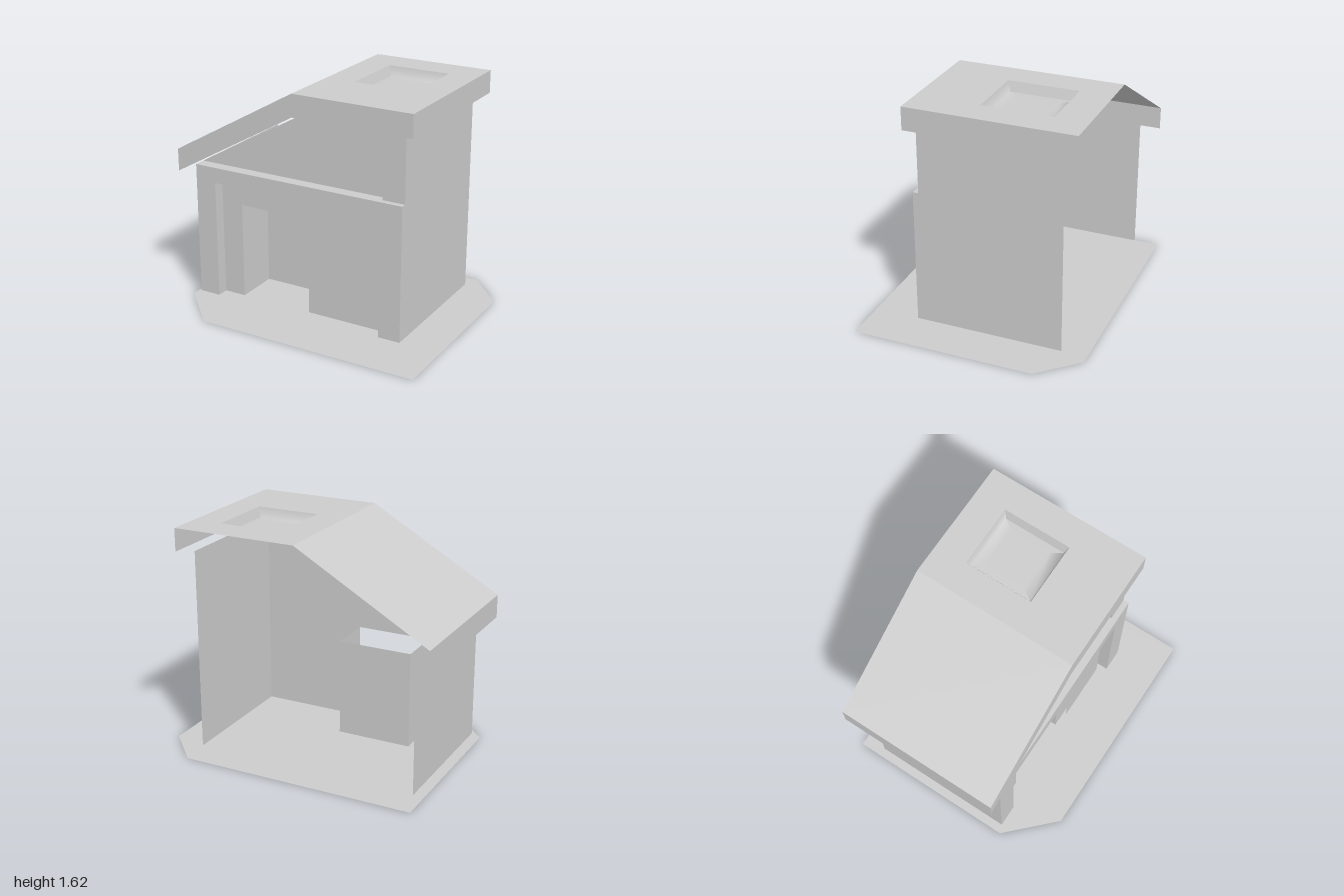
import * as THREE from 'three';

const grey = new THREE.MeshStandardMaterial({ color: 0xcccccc, side: THREE.DoubleSide });
grey.name = 'plain grey';

const rect = (x0, y0, x1, y1) => [[x0, y0], [x1, y0], [x1, y1], [x0, y1]];
const vecs = (pts) => pts.map(([x, y]) => new THREE.Vector2(x, y));

// Flat sheet in the xy plane with optional holes
function sheet(pts, ...holes) {
  const shape = new THREE.Shape(vecs(pts));
  holes.forEach((h) => shape.holes.push(new THREE.Path(vecs(h))));
  return new THREE.ShapeGeometry(shape);
}
const front = (z, pts, ...holes) => sheet(pts, ...holes).translate(0, 0, z);
// Upright sheet facing +x, points given as [z, y]
const side = (x, pts) => sheet(pts.map(([z, y]) => [-z, y])).rotateY(Math.PI / 2).translate(x, 0, 0);
// Level sheet facing +y, points given as [x, z]
const flat = (y, pts, ...holes) => {
  const flip = (p) => p.map(([x, z]) => [x, -z]);
  return sheet(flip(pts), ...holes.map(flip)).rotateX(-Math.PI / 2).translate(0, y, 0);
};

// Strip of quads between rows of two points each; rows share normals
function strip(rows) {
  const g = new THREE.BufferGeometry();
  g.setAttribute('position', new THREE.Float32BufferAttribute(rows.flat(2), 3));
  const index = [];
  for (let i = 0; i < rows.length - 1; i++) {
    const a = i * 2;
    index.push(a, a + 1, a + 3, a, a + 3, a + 2);
  }
  g.setIndex(index);
  g.computeVertexNormals();
  return g;
}

export function createModel() {
  const model = new THREE.Group();
  model.name = 'house';
  const add = (name, ...geometries) => {
    const group = new THREE.Group();
    group.name = name;
    geometries.forEach((g) => {
      const mesh = new THREE.Mesh(g, grey);
      mesh.name = name;
      group.add(mesh);
    });
    model.add(group);
  };

  const L = -0.865, R = 0.73, ridge = -0.07, base = 0.03;
  const zFrame = 0.43, zPilaster = 0.39, zWall = 0.345, zAlcove = 0.027, zBack = -0.61;

  // Ground plate with two clipped corners
  add('ground', flat(0, [[-0.92, -0.775], [0.75, -0.775], [1, -0.51], [1, 0.77], [-0.6, 0.77], [-0.92, 0.45]]));

  // Side walls; the back is open
  add('rightSideWall', side(R, [[zFrame, base], [zBack, base], [zBack, 1.44], [zPilaster, 1.44], [zPilaster, 0.99], [zFrame, 0.99]]));
  add('leftSideWall', side(L, rect(zBack, base, zFrame, 0.99)));

  // Front wall up to the gable, with the doorway cut from its lower edge
  add('frontWall', front(zWall, [
    [L, base], [-0.55, base], [-0.55, 0.72], [-0.015, 0.72], [-0.015, base],
    [R, base], [R, 1.44], [ridge, 1.44], [L, 0.99],
  ]));

  // Door alcove without a ceiling
  add('doorAlcove',
    front(zAlcove, rect(-0.55, base, -0.015, 0.72)),
    side(-0.55, rect(zAlcove, base, zWall, 0.72)),
    side(-0.015, rect(zAlcove, base, zWall, 0.72)));

  // Raised frame around the lower front, with reveals and a ledge
  add('frontFrame',
    front(zFrame, [[L, base], [-0.71, base], [-0.71, 0.88], [0.57, 0.88], [0.57, base], [R, base], [R, 0.99], [L, 0.99]]),
    side(-0.71, rect(zWall, base, zFrame, 0.88)),
    side(0.57, rect(zWall, base, zFrame, 0.88)),
    flat(0.88, rect(-0.71, zWall, 0.57, zFrame)),
    flat(0.99, rect(L, zWall, R, zFrame)));

  // Upper corner pilaster
  add('pilaster',
    front(zPilaster, rect(0.57, 0.99, R, 1.44)),
    side(0.57, rect(zWall, 0.99, zPilaster, 1.44)));

  // Window panes
  add('shopWindow', front(0.382, rect(0.065, 0.13, 0.49, 0.75)));
  add('gableWindow', front(0.37, rect(-0.2, 1.1, 0.065, 1.34)));

  // Roof sheets and fascias, open at the back
  const top = 1.615, eave = 1.085, drop = 0.16, zf = 0.45, zb = -0.72, xr = 0.805;
  const sky = [0.145, -0.49, 0.597, 0.003];
  add('flatRoof', flat(top, rect(ridge, zb, xr, zf), rect(...sky)));
  add('slopedRoof', strip([[[-1, eave, zb], [-1, eave, zf]], [[ridge, top, zb], [ridge, top, zf]]]));
  add('fascia',
    front(zf, [[-1, eave - drop], [ridge, top - drop], [xr, top - drop], [xr, top], [ridge, top], [-1, eave]]),
    side(-1, rect(zb, eave - drop, zf, eave)),
    side(xr, rect(zb, top - drop, zf, top)));

  // Skylight well: rings stepping down and in to the pane
  const rings = [
    [...sky, top],
    [0.17, -0.468, 0.573, -0.02, 1.548],
    [0.225, -0.39, 0.52, -0.1, 1.55],
  ].map(([x0, z0, x1, z1, y]) => [[x0, y, z0], [x0, y, z1], [x1, y, z1], [x1, y, z0]]);
  const wells = [];
  for (let s = 0; s < 4; s++) {
    const rows = rings.map((r) => [r[s], r[(s + 1) % 4]]);
    if (s % 2) wells.push(strip(rows)); // front and back sides shade smoothly
    else wells.push(strip(rows.slice(0, 2)), strip(rows.slice(1)));
  }
  add('skylightWell', ...wells);
  add('skylightPane', flat(1.55, rect(0.225, -0.39, 0.52, -0.1)));

  return model;
}
